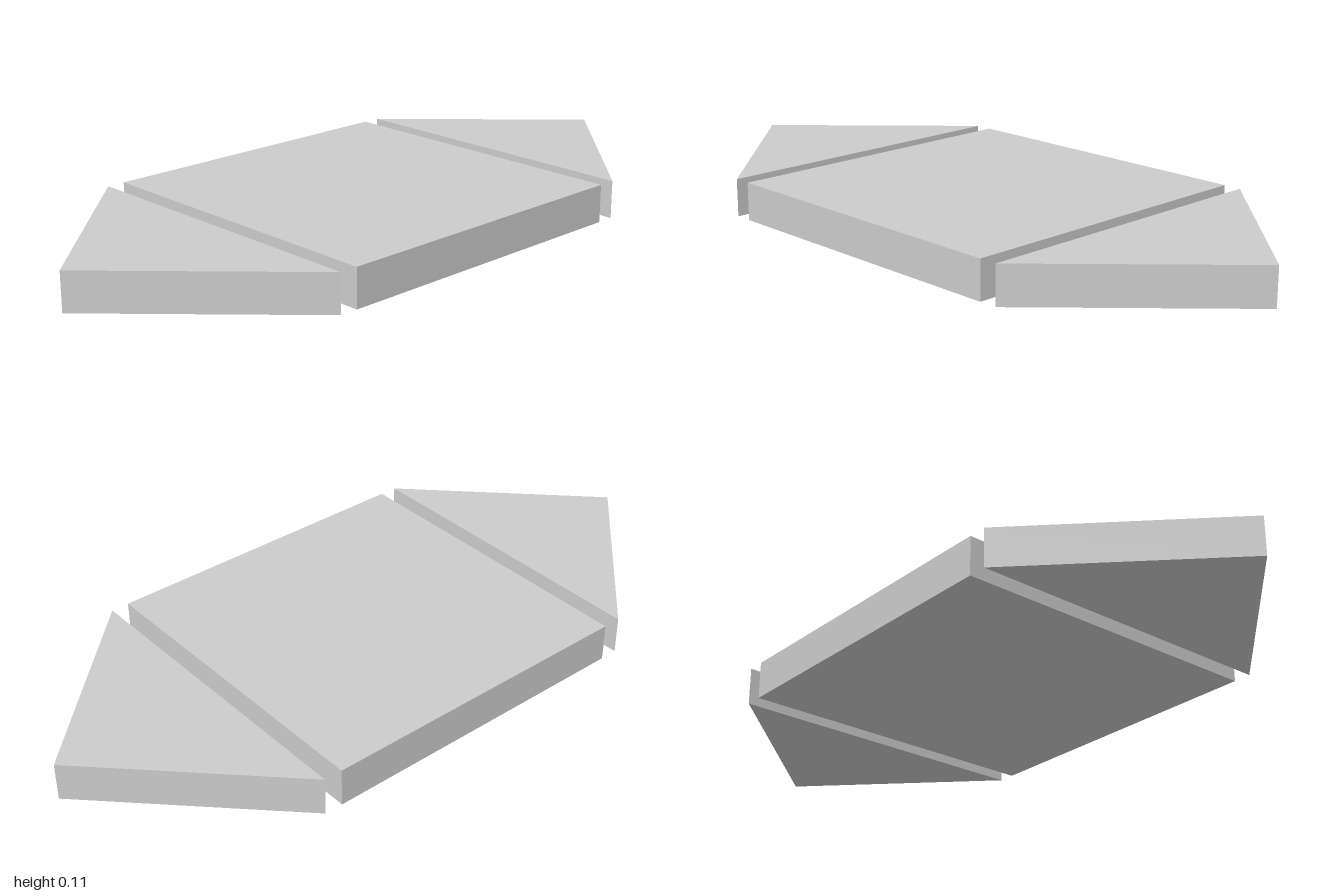
import * as THREE from 'three';

const HALF = 0.474;    // half side of the square slab
const HEIGHT = 0.11;   // common thickness
const INNER = 0.526;   // z of the triangles' long edges

export function createModel() {
  const group = new THREE.Group();
  const material = new THREE.MeshStandardMaterial({ color: 0xcccccc, flatShading: true });
  const add = (name, geometry) => {
    const mesh = new THREE.Mesh(geometry, material);
    mesh.name = name;
    group.add(mesh);
    return mesh;
  };

  // Square centre slab
  add('centreSlab', new THREE.BoxGeometry(2 * HALF, HEIGHT, 2 * HALF)).position.y = HEIGHT / 2;

  // Triangular end slab, pointing to -z; turned half round for the front
  const triangle = new THREE.Shape([
    new THREE.Vector2(-HALF, INNER),
    new THREE.Vector2(HALF, INNER),
    new THREE.Vector2(0, 1),
  ]);
  const wedge = new THREE.ExtrudeGeometry(triangle, { depth: HEIGHT, bevelEnabled: false });
  wedge.rotateX(-Math.PI / 2);
  add('backTriangle', wedge);
  add('frontTriangle', wedge).rotation.y = Math.PI;

  return group;
}
